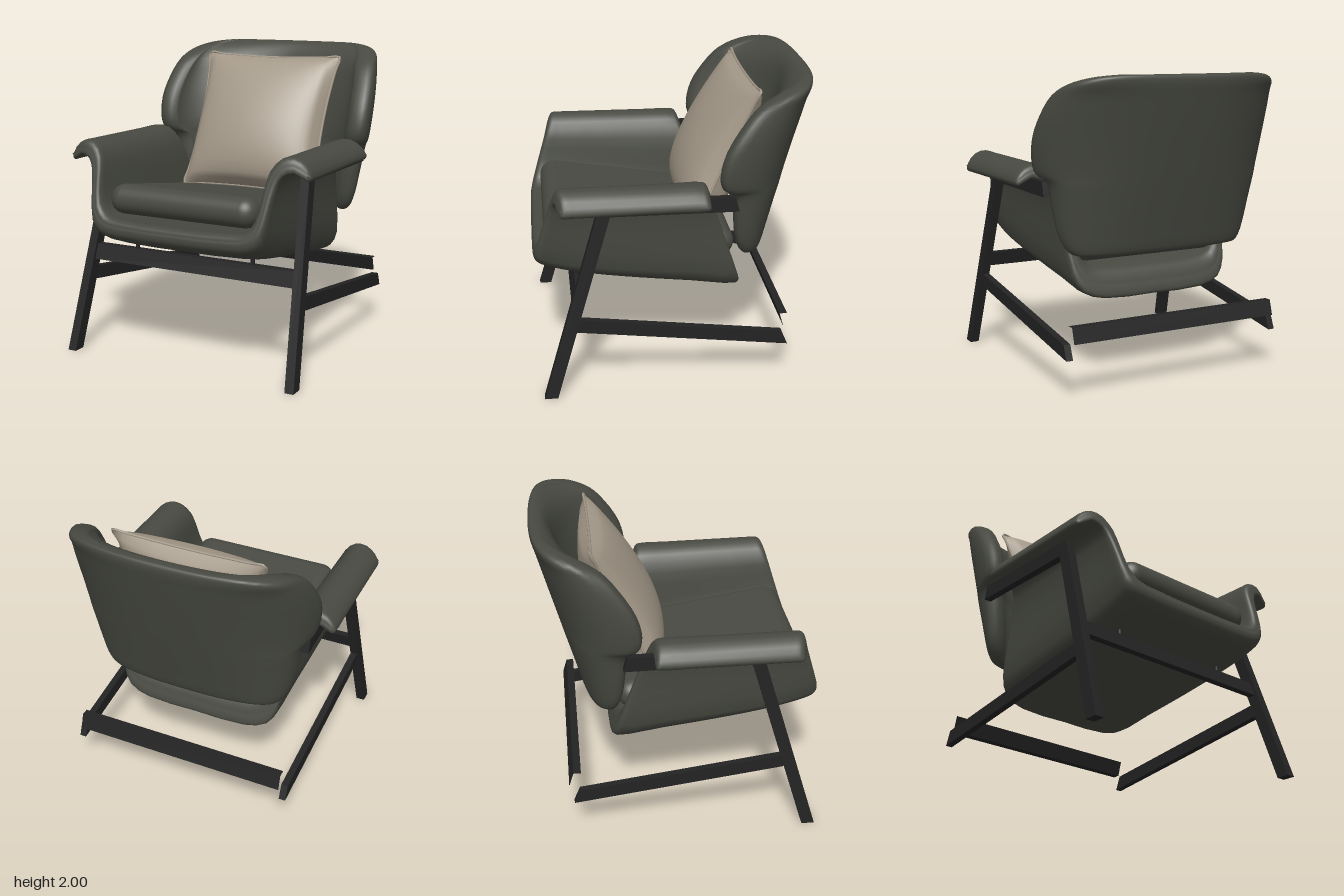
import * as THREE from 'three';
import { RoundedBoxGeometry } from 'three/addons/geometries/RoundedBoxGeometry.js';

const V = (x, y, z) => new THREE.Vector3(x, y, z);

// Smooth skin through a list of closed control rings
function loft(rings) {
  const sampled = rings.map(r => new THREE.CatmullRomCurve3(r, true).getPoints(r.length * 2).slice(0, -1));
  const cols = sampled[0].map((_, j) =>
    new THREE.CatmullRomCurve3(sampled.map(r => r[j])).getPoints((rings.length - 1) * 3));
  const n = cols.length, m = cols[0].length, pos = [], idx = [];
  for (let i = 0; i < m; i++) for (let j = 0; j < n; j++) pos.push(...cols[j][i].toArray());
  for (let i = 0; i < m - 1; i++) for (let j = 0; j < n; j++) {
    const a = i * n + j, b = i * n + (j + 1) % n, c = a + n, d = b + n;
    idx.push(a, c, b, b, c, d);
  }
  const g = new THREE.BufferGeometry();
  g.setAttribute('position', new THREE.Float32BufferAttribute(pos, 3));
  g.setIndex(idx);
  g.computeVertexNormals();
  return g;
}

// Sheared bar whose end faces sit at "from" and "to" (ascending) along the given axis;
// skew tilts the end faces
function slantBar(axis, size, from, to, skew = 0) {
  const dims = { x: size[0], y: size[1], z: size[2], [axis]: 1 };
  const g = new THREE.BoxGeometry(dims.x, dims.y, dims.z), p = g.attributes.position;
  for (let i = 0; i < p.count; i++) {
    const v = V().fromBufferAttribute(p, i), t = v[axis] + 0.5;
    v[axis] = skew * v.y;
    v.add(from.clone().lerp(to, t));
    p.setXYZ(i, v.x, v.y, v.z);
  }
  g.computeVertexNormals();
  return g;
}

// Seat shell half section: front x, front y, back x, back y
const SHELL = [
  [0, .855, 0, .535], [.40, .86, .36, .54], [.54, .88, .51, .59], [.61, .94, .575, .70],
  [.645, 1.1, .60, .95], [.67, 1.24, .63, 1.2], [.70, 1.30, .68, 1.29], [.77, 1.325, .76, 1.325],
  [.85, 1.28, .85, 1.28], [.868, 1.31, .868, 1.31], [.83, 1.38, .83, 1.37], [.76, 1.42, .76, 1.41],
  [.68, 1.41, .66, 1.40], [.61, 1.33, .59, 1.32], [.585, 1.2, .55, 1.15], [.56, 1.05, .53, .92],
  [.50, .97, .48, .78], [.40, .95, .38, .74], [0, .94, 0, .73],
];

function seatShellGeometry() {
  // position along the depth, and how far the thickness closes up
  const rows = [[0, .5], [0, .3], [.008, .1], [.03, 0], [.08, 0], [.16, 0], [.28, 0], [.5, 0], [.75, 0],
    [.97, 0], [.992, .1], [1, .3], [1, .5]];
  return loft(rows.map(([t, close]) => {
    const at = ([xf, yf, xb, yb], i) => {
      // arm corners are rounded off toward the outer tip
      const corner = (Math.max(0, xf - .7) / .168) ** 2;
      const zf = .76 + (1.4 - yf) * .31 - corner * .06, zb = -.2 - (1.33 - yb) * .34 + corner * .03;
      const p = V(xf, yf, zf).lerp(V(xb, yb, zb), t);
      // belly of the underside
      if (i < 4) p.y -= .062 * Math.sin(Math.PI * t ** .5);
      return p;
    };
    const full = SHELL.map(at);
    const half = full.map((p, i) => p.clone().lerp(full[full.length - 1 - i], close));
    half[9].lerp(half[8], close * 2);
    const mirrored = half.slice(1, -1).reverse().map(p => V(-p.x, p.y, p.z));
    return [...half, ...mirrored];
  }));
}

// Backrest rows: height, rear z, wing tip z, half width, thickness, notch over the arm rail
const BACK = [
  [.855, -.575, -.475, .57, 0, 0], [.865, -.61, -.45, .61, .06, 0], [.91, -.633, -.425, .65, .10, 0],
  [1.0, -.66, -.40, .685, .12, 0], [1.18, -.712, -.352, .735, .13, .03], [1.32, -.752, -.315, .772, .13, .055],
  [1.37, -.766, -.302, .785, .13, 0], [1.45, -.788, -.282, .803, .13, 0], [1.6, -.829, -.315, .81, .13, 0],
  [1.75, -.869, -.405, .795, .13, 0], [1.87, -.90, -.51, .765, .13, 0], [1.94, -.917, -.64, .72, .12, 0],
  [1.98, -.918, -.75, .63, .09, 0], [1.998, -.905, -.82, .50, .045, 0], [2.0, -.88, -.84, .42, 0, 0],
];

function backrestGeometry() {
  const n = 18;
  return loft(BACK.map(([y, zb, zf, w, th, notch]) => {
    const arc = (hw, depth, e) => Array.from({ length: n + 1 }, (_, i) => {
      const c = Math.cos(Math.PI * i / n), s = i % n ? Math.sin(Math.PI * i / n) : 0;
      const cut = notch * (1 - s) ** 2;
      return V(-Math.sign(c) * (hw * Math.abs(c) ** e - cut * .6), y, zf - cut - depth * s ** e);
    });
    const tip = (s) => V(s * (w - th / 2 - notch * .6), y, zf - notch + th * .2);
    // the inner face is a softer curve, so the wings are thick at their root
    const inner = arc(w - th, zf - zb - th, .8 + th * 3.2).reverse();
    return [...arc(w, zf - zb, .8), tip(1), ...inner, tip(-1)];
  }));
}

// Pillow seam position for u, v in -1..1
const seam = (u, v) => [u * .515 * (1 - .07 * (1 - v * v)), v * .5 * (1 - .04 * (1 - u * u))];

function pillowSide(bulge) {
  const g = new THREE.PlaneGeometry(2, 2, 28, 28), p = g.attributes.position;
  if (bulge < 0) g.rotateY(Math.PI);
  for (let i = 0; i < p.count; i++) {
    const u = p.getX(i), v = p.getY(i);
    const fill = Math.max(0, (1 - u * u) * (1 - v * v)) ** .45;
    p.setXYZ(i, ...seam(u, v), bulge * fill * (1 - .2 * v));
  }
  g.computeVertexNormals();
  return g;
}

function pillowPiping() {
  const corners = [[-1, -1], [1, -1], [1, 1], [-1, 1]], pts = [];
  corners.forEach(([u, v], k) => {
    const [u2, v2] = corners[(k + 1) % 4];
    for (let i = 0; i < 10; i++) {
      const t = i / 10;
      pts.push(V(...seam(u + (u2 - u) * t, v + (v2 - v) * t), 0));
    }
  });
  return new THREE.TubeGeometry(new THREE.CatmullRomCurve3(pts, true), 120, .009, 6, true);
}

export function createModel() {
  const mat = (name, color) => {
    const m = new THREE.MeshStandardMaterial({ color });
    m.name = name;
    return m;
  };
  const fabric = mat('dark olive fabric', 0x484a42);
  const linen = mat('beige linen', 0xa39888);
  const wood = mat('black wood', 0x232323);

  const model = new THREE.Group();
  model.name = 'armchair';
  const add = (name, geometry, material, parent = model) => {
    const mesh = new THREE.Mesh(geometry, material);
    mesh.name = name;
    parent.add(mesh);
    return mesh;
  };

  // Upholstery
  add('seatShell', seatShellGeometry(), fabric);
  add('backrest', backrestGeometry(), fabric);
  const cushion = add('seatCushion', new RoundedBoxGeometry(1.06, .195, 1.26, 6, .095), fabric);
  cushion.position.set(0, .97, .218);
  cushion.rotation.x = -.165;

  // Pillow leaning on the backrest
  const pillow = new THREE.Group();
  pillow.name = 'pillow';
  add('pillowFront', pillowSide(.19), linen, pillow);
  add('pillowBack', pillowSide(-.23), linen, pillow);
  add('pillowPiping', pillowPiping(), linen, pillow);
  pillow.position.set(-.01, 1.46, -.34);
  pillow.rotation.x = -.42;
  model.add(pillow);

  // Frame sides
  for (const [side, s] of [['left', 1], ['right', -1]]) {
    add(side + 'FrontLeg', slantBar('y', [.06, 0, .085], V(s * .808, 0, .842), V(s * .725, 1.31, .452)), wood);
    add(side + 'ArmRail', slantBar('z', [.05, .095, 0], V(s * .74, 1.278, -.365), V(s * .725, 1.278, .46), .27), wood);
    add(side + 'Stretcher', slantBar('z', [.045, .095, 0], V(s * .757, .31, -.70), V(s * .77, .502, .68), .42), wood);
    const peg = add(side + 'SeatPeg', new THREE.CylinderGeometry(.013, .013, .08, 10), wood);
    peg.position.set(s * .43, .72, .63);
  }

  // Cross bars; the rear one is open at its ends
  add('frontCrossbar', slantBar('y', [1.48, 0, .05], V(0, .6, .66), V(0, .7, .63)), wood);
  const rear = slantBar('y', [1.48, 0, .05], V(0, .37, -.725), V(0, .47, -.695));
  rear.setIndex(Array.from(rear.index.array).slice(12));
  rear.clearGroups();
  add('rearCrossbar', rear, wood);
  return model;
}
